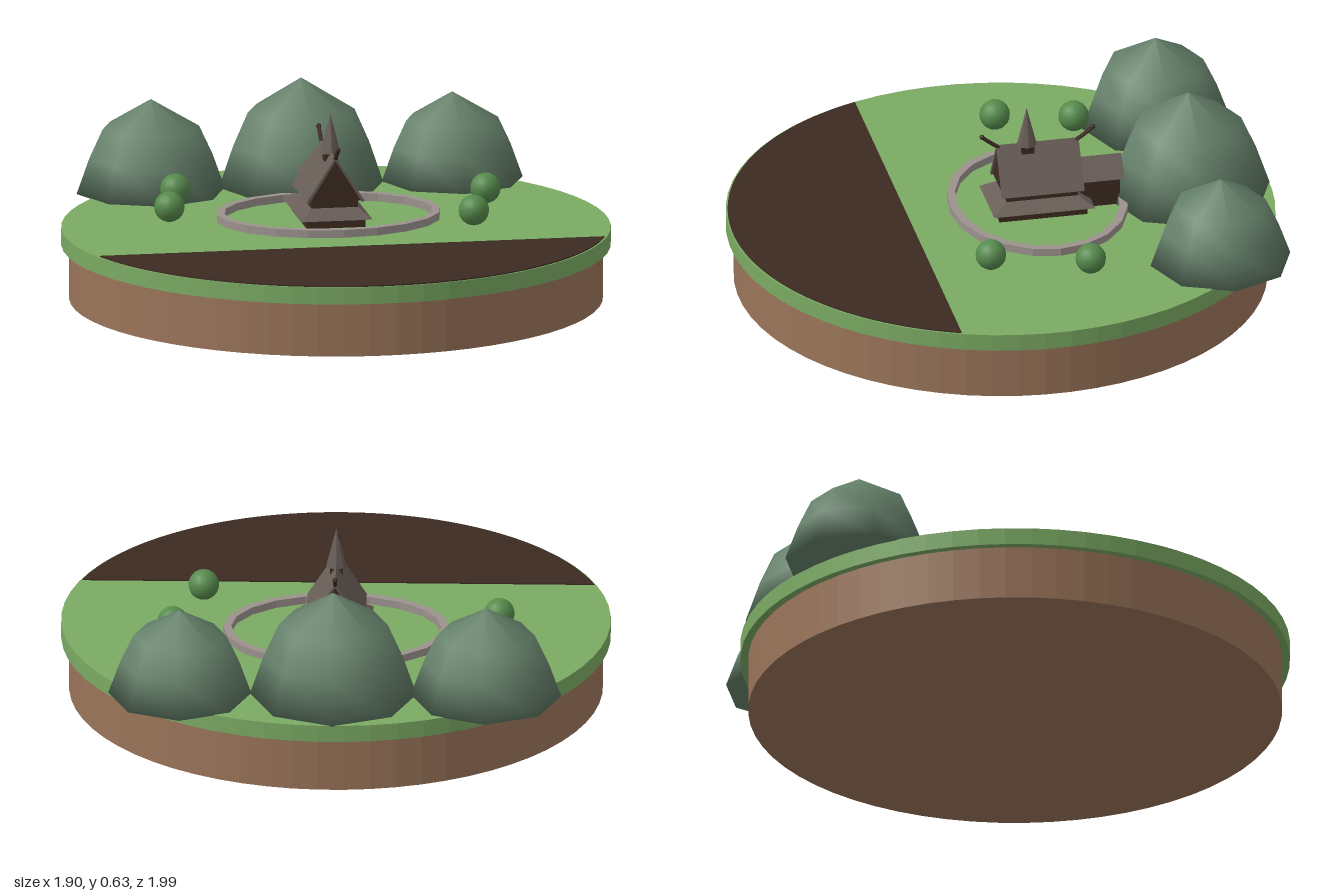
import * as THREE from 'three';

const mat = (name, color, opts = {}) => {
  const m = new THREE.MeshStandardMaterial({ color, ...opts });
  m.name = name;
  return m;
};

export function createModel() {
  const soil = mat('soil', 0x9a7459, { flatShading: true });
  const grass = mat('grass', 0x7baa63, { flatShading: true });
  const field = mat('ploughed earth', 0x3b2a21);
  const stone = mat('stone', 0x9c928e, { flatShading: true });
  const foliage = mat('tree foliage', 0x647f69);
  const leaf = mat('bush leaf', 0x568a4c);
  const roofing = mat('roof shingle', 0x685d57, { flatShading: true });
  const timber = mat('dark timber', 0x3e2b20, { flatShading: true });

  const model = new THREE.Group();
  const add = (parent, name, geo, material, x = 0, y = 0, z = 0) => {
    const m = new THREE.Mesh(geo, material);
    m.name = name;
    m.position.set(x, y, z);
    parent.add(m);
    return m;
  };

  const TILT = THREE.MathUtils.degToRad(20); // shared heading of field, wall and church
  const CZ = 0.044, GROUND = 0.25;

  // Round base with an overhanging turf disc
  add(model, 'soilBase', new THREE.CylinderGeometry(0.92, 0.92, 0.19, 64), soil, 0, 0.095, CZ);
  add(model, 'turf', new THREE.CylinderGeometry(0.947, 0.947, 0.06, 64), grass, 0, 0.22, CZ);

  // Ploughed field: thin circular segment at the front
  const mid = -Math.PI / 2 - TILT, half = Math.acos(0.325 / 0.94);
  const segment = new THREE.Shape();
  segment.absarc(0, 0, 0.94, mid - half, mid + half, false);
  const fieldGeo = new THREE.ExtrudeGeometry(segment, { depth: 0.004, bevelEnabled: false, curveSegments: 40 });
  fieldGeo.rotateX(-Math.PI / 2);
  add(model, 'field', fieldGeo, field, 0, GROUND, CZ);

  // Trees: eight-sided domes
  const domeProfile = [[0, 0], [1, 0], [0.83, 0.38], [0.65, 0.69], [0, 1]];
  for (const [x, z, r, h] of [[-0.275, -0.757, 0.26, 0.325], [0.22, -0.58, 0.288, 0.38], [0.717, -0.4, 0.247, 0.31]]) {
    const pts = domeProfile.map(([a, b]) => new THREE.Vector2(a * r, b * h));
    const tree = add(model, 'tree', new THREE.LatheGeometry(pts, 8), foliage, x, GROUND - 0.002, z);
    tree.rotation.y = THREE.MathUtils.degToRad(25.5);
  }

  // Bushes
  for (const [x, z] of [[-0.344, -0.468], [-0.497, -0.243], [0.592, 0.048], [0.386, 0.325]]) {
    add(model, 'bush', new THREE.SphereGeometry(0.053, 16, 12), leaf, x, 0.32, z);
  }

  // Churchyard, turned to the field's heading
  const yard = new THREE.Group();
  yard.name = 'churchyard';
  yard.position.set(0.041, GROUND, -0.08);
  yard.rotation.y = -TILT;
  model.add(yard);

  // Oval stone wall
  const oval = (Type, a, b) => new Type(Array.from({ length: 20 }, (_, i) => {
    const t = (i / 20) * Math.PI * 2;
    return new THREE.Vector2(Math.cos(t) * a, Math.sin(t) * b);
  }));
  const ring = oval(THREE.Shape, 0.39, 0.308);
  ring.holes.push(oval(THREE.Path, 0.362, 0.28));
  const ringGeo = new THREE.ExtrudeGeometry(ring, { depth: 0.027, bevelEnabled: false });
  ringGeo.rotateX(-Math.PI / 2);
  add(yard, 'stoneWall', ringGeo, stone);

  // Church
  const church = new THREE.Group();
  church.name = 'church';
  yard.add(church);

  const block = (name, w, d, y0, y1, z = 0) =>
    add(church, name, new THREE.BoxGeometry(w, y1 - y0, d), timber, 0, (y0 + y1) / 2, z);

  // Gabled roof: chevron of shingles over a timber gable
  const gable = (name, w, eave, ridge, z0, z1) => {
    const t = 0.014, h = w - 0.01;
    const prism = (pts, a, b) => {
      const s = new THREE.Shape(pts.map(p => new THREE.Vector2(...p)));
      return new THREE.ExtrudeGeometry(s, { depth: b - a, bevelEnabled: false }).translate(0, 0, a);
    };
    add(church, name + 'Roof', prism([[-w, eave], [-h, eave - 0.004], [0, ridge - t], [h, eave - 0.004],
      [w, eave], [0, ridge]], z0, z1), roofing);
    add(church, name + 'Gable', prism([[-h, eave], [h, eave], [0, ridge - t + 0.002]], z0 + 0.008, z1 - 0.008), timber);
  };

  block('lowerWalls', 0.205, 0.31, 0, 0.036);
  block('upperWalls', 0.162, 0.25, 0.03, 0.1);
  block('chancelWalls', 0.1, 0.17, 0, 0.105, -0.195);

  // Skirt roof: a box tapered towards its top
  const skirt = new THREE.BoxGeometry(0.248, 0.035, 0.356);
  const p = skirt.attributes.position;
  for (let i = 0; i < p.count; i++) {
    if (p.getY(i) > 0) p.setXYZ(i, p.getX(i) * 0.66, p.getY(i), p.getZ(i) * 0.72);
  }
  add(church, 'skirtRoof', skirt, roofing, 0, 0.0475, 0);

  gable('nave', 0.102, 0.09, 0.247, -0.145, 0.145);
  gable('chancel', 0.062, 0.1, 0.17, -0.295, -0.12);

  // Spire on a small timber turret
  block('turret', 0.045, 0.045, 0.19, 0.252, 0.038);
  add(church, 'spire', new THREE.ConeGeometry(0.035, 0.14, 8), roofing, 0, 0.31, 0.038);

  // Carved finials leaning out from both ridge ends
  for (const s of [-1, 1]) {
    const curve = new THREE.QuadraticBezierCurve3(
      new THREE.Vector3(0, 0.238, s * 0.135), new THREE.Vector3(0, 0.256, s * 0.165), new THREE.Vector3(0, 0.283, s * 0.195));
    add(church, 'ridgeFinial', new THREE.TubeGeometry(curve, 4, 0.007, 6), timber);
    add(church, 'finialHead', new THREE.SphereGeometry(0.009, 6, 5), timber, 0, 0.283, s * 0.195);
  }

  return model;
}
